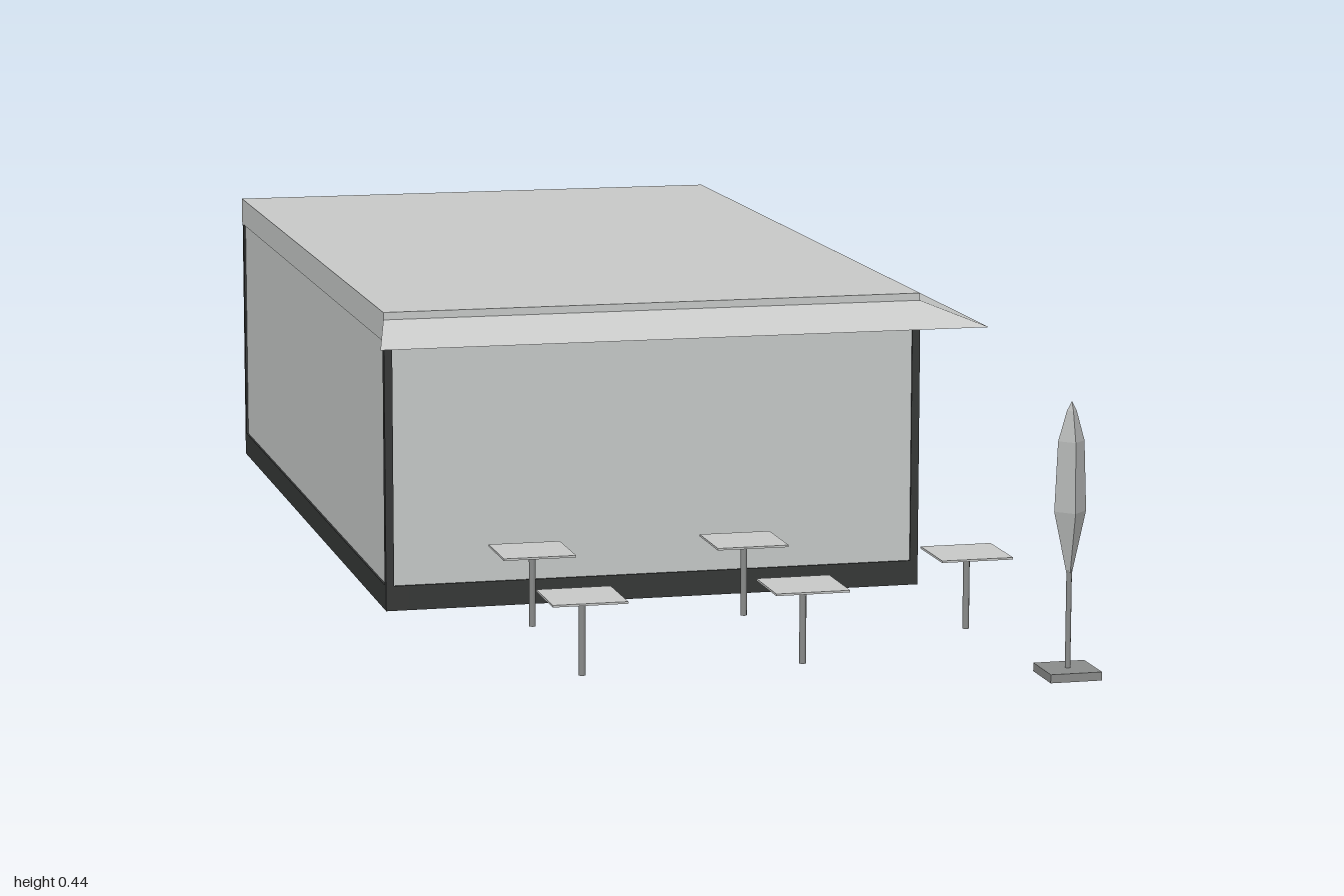
import * as THREE from 'three';

const mat = (name, color, extra = {}) =>
  Object.assign(new THREE.MeshStandardMaterial({ color, ...extra }), { name });

export function createModel() {
  const model = new THREE.Group();
  model.name = 'pavilion';
  const frameMat = mat('dark frame', 0x363837);
  const wallMat = mat('pale wall', 0xc7cac9);
  const roofMat = mat('light grey', 0xc8cac9, { side: THREE.DoubleSide });
  const metalMat = mat('grey metal', 0x8a8c8b);
  const treeMat = mat('grey foliage', 0xb8bab9, { flatShading: true });

  const add = (parent, name, geometry, material, x = 0, y = 0, z = 0) => {
    const mesh = new THREE.Mesh(geometry, material);
    mesh.name = name;
    mesh.position.set(x, y, z);
    parent.add(mesh);
    return mesh;
  };
  // Box given by its minimum and maximum corners
  const box = (parent, name, material, [x0, y0, z0], [x1, y1, z1]) =>
    add(parent, name, new THREE.BoxGeometry(x1 - x0, y1 - y0, z1 - z0), material,
      (x0 + x1) / 2, (y0 + y1) / 2, (z0 + z1) / 2);

  // Building outline
  const L = -0.44, R = 0.373, B = -0.975, F = 0.333;
  const baseH = 0.037, wallH = 0.4, rim = 0.034, post = 0.012, inset = 0.003, thick = 0.003;

  // Base ring, open in the middle
  const base = new THREE.Group();
  base.name = 'baseFrame';
  model.add(base);
  box(base, 'leftBeam', frameMat, [R - rim, 0, B], [R, baseH, F]);
  box(base, 'rightBeam', frameMat, [L, 0, B], [L + rim, baseH, F]);
  box(base, 'frontBeam', frameMat, [L + rim, 0, F - rim], [R - rim, baseH, F]);
  box(base, 'backBeam', frameMat, [L + rim, 0, B], [R - rim, baseH, B + rim]);

  // Corner posts
  for (const x of [L, R - post])
    for (const z of [B, F - post])
      box(model, 'cornerPost', frameMat, [x, baseH, z], [x + post, wallH, z + post]);

  // Wall panels
  for (const x of [L + inset, R - inset - thick])
    box(model, 'sideWall', wallMat, [x, baseH, B + post], [x + thick, wallH, F - post]);
  for (const z of [B + inset, F - inset - thick])
    box(model, 'endWall', wallMat, [L + post, baseH, z], [R - post, wallH, z + thick]);

  // Flat roof
  box(model, 'roof', roofMat, [L, wallH, -0.98], [R, 0.443, 0.33]);

  // Sloping awnings along the front and the left side
  const awning = (name, a, b, c, d) => {
    const g = new THREE.BufferGeometry();
    g.setAttribute('position', new THREE.Float32BufferAttribute([...a, ...b, ...c, ...d], 3));
    g.setIndex([0, 1, 2, 0, 2, 3]);
    g.computeVertexNormals();
    add(model, name, g, roofMat);
  };
  const hi = 0.432, lo = 0.401;
  const innerCorner = [R, hi, 0.33], outerCorner = [0.455, lo, 0.412];
  awning('frontAwning', [-0.46, lo, 0.412], outerCorner, innerCorner, [L, hi, 0.33]);
  awning('sideAwning', innerCorner, outerCorner, [0.455, lo, -1], [R, hi, -0.98]);

  // Square tables on a single leg, outside and inside
  const spots = [[0.352, 0.64]];
  for (const x of [-0.253, 0.063]) for (const z of [0.48, 0.8]) spots.push([x, z]);
  for (const x of [-0.2, 0.125]) for (const z of [-0.72, -0.395, -0.07]) spots.push([x, z]);
  const topGeo = new THREE.BoxGeometry(0.106, 0.003, 0.106);
  const legGeo = new THREE.CylinderGeometry(0.005, 0.005, 0.11, 8);
  for (const [x, z] of spots) {
    const table = new THREE.Group();
    table.name = 'table';
    table.position.set(x, 0, z);
    model.add(table);
    add(table, 'tableTop', topGeo, roofMat, 0, 0.111, 0);
    add(table, 'tableLeg', legGeo, metalMat, 0, 0.055, 0);
  }

  // Slim tree on a square foot
  const tree = new THREE.Group();
  tree.name = 'tree';
  tree.position.set(0.398, 0, 0.96);
  model.add(tree);
  box(tree, 'treeFoot', metalMat, [-0.037, 0, -0.038], [0.037, 0.012, 0.038]);
  add(tree, 'trunk', new THREE.CylinderGeometry(0.004, 0.004, 0.14, 8), metalMat, 0, 0.08, 0);
  const profile = [[0, 0.145], [0.004, 0.145], [0.023, 0.232], [0.019, 0.33], [0.007, 0.372], [0, 0.385]];
  add(tree, 'crown', new THREE.LatheGeometry(profile.map(p => new THREE.Vector2(...p)), 4), treeMat);

  return model;
}
